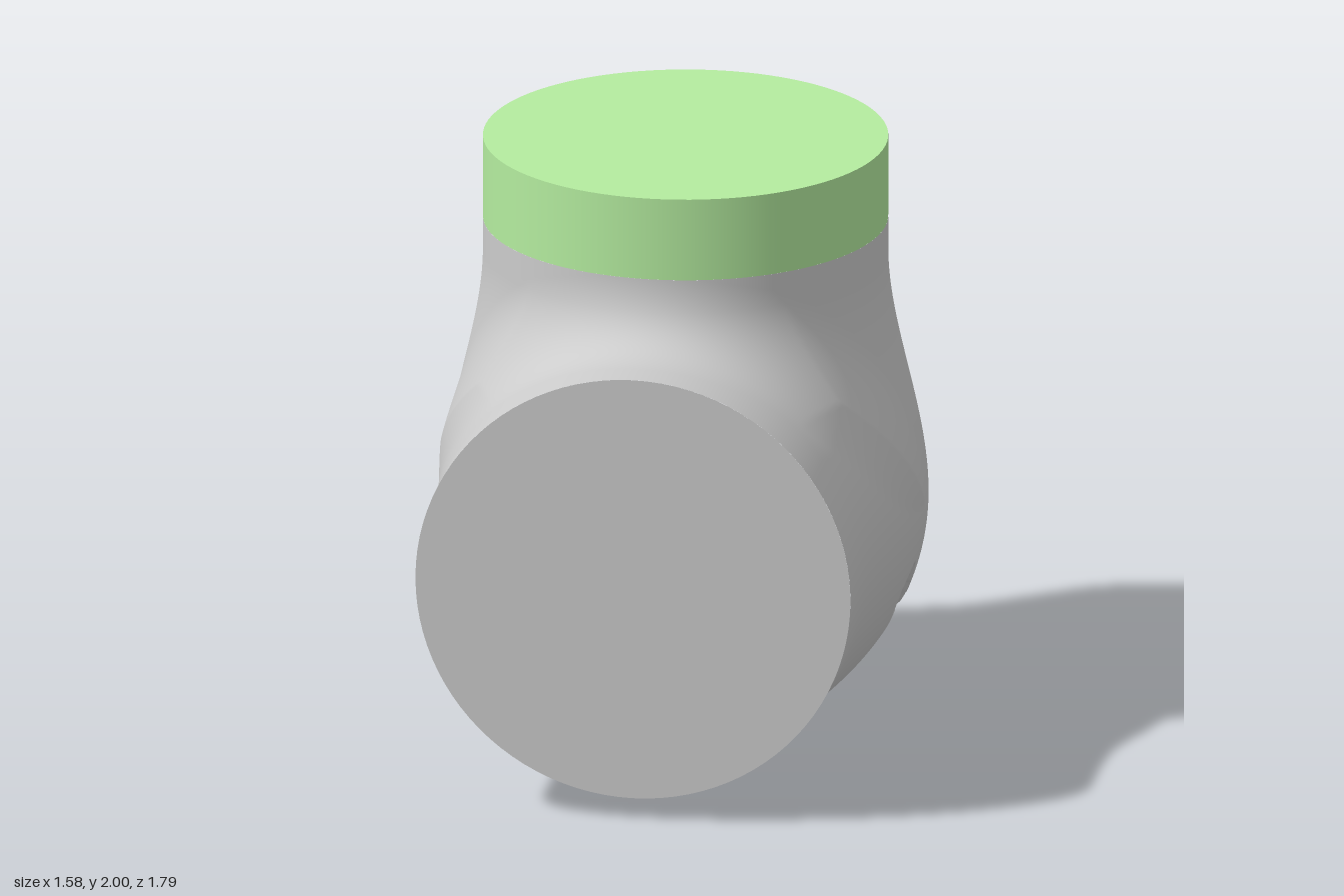
import * as THREE from 'three';

const CY = 0.785, CZ = -0.11, R = 0.785;       // centre and radius of the ball
const NECK_R = 0.655, PIPE_R = 0.713;          // end radii of the two branches
const NECK_END = 0.94, PIPE_END = 1.005;       // end distances from the centre
const SLOPE = 1.1;                             // mitre plane y = SLOPE * z
const smooth = THREE.MathUtils.smoothstep;

// Screw holes: five parallel bores around a tilted axis
const axis = new THREE.Vector3(0, -0.8, -0.6);
const side = new THREE.Vector3(0, 0.6, -0.8);
const holes = [36, 108, 180, 252, 324].map((deg) => {
  const a = THREE.MathUtils.degToRad(deg);
  return side.clone().multiplyScalar(0.705 * Math.cos(a)).setX(0.705 * Math.sin(a));
});
const HOLE_R = 0.07, HOLE_FLOOR = 0.1;

// A branch: half ball below, tapering round pipe above (h = height on its axis)
function branch(h, a, b, endRadius, reach) {
  if (h < 0) return Math.hypot(h, a, b) - R;
  return Math.hypot(a, b) - (R + (endRadius - R) * smooth(h, 0, reach));
}

// Signed field of the elbow: negative inside, with a fillet in the inner corner
function field(x, y, z) {
  const v = branch(y, x, z, NECK_R, 0.83);
  const p = branch(z, x, y, PIPE_R, 0.8);
  const k = 0.23 * THREE.MathUtils.clamp(Math.min(y, z) / 0.5, 0, 1);
  let f = Math.min(v, p);
  if (k > 0) f -= Math.max(k - Math.abs(v - p), 0) ** 2 / (4 * k);
  const along = y * axis.y + z * axis.z;
  if (along > HOLE_FLOOR) {
    for (const c of holes) {
      const d = Math.hypot(x - c.x, y - along * axis.y - c.y, z - along * axis.z - c.z);
      f = Math.max(f, Math.min(HOLE_R - d, along - HOLE_FLOOR));
    }
  }
  return f;
}

// Distance along a ray at which it leaves the body
function exit(ox, oy, oz, dx, dy, dz) {
  let lo = 0, hi = 1.4;
  for (let i = 0; i < 26; i++) {
    const m = (lo + hi) / 2;
    if (field(ox + dx * m, oy + dy * m, oz + dz * m) < 0) lo = m;
    else hi = m;
  }
  return lo;
}

// One skin of rings: neck end -> mitre ring -> pipe end
function elbowGeometry(cols = 300, rows = 90) {
  const total = rows * 2 + 1;
  const pos = new Float32Array(total * cols * 3);
  const index = [];
  const len = Math.hypot(1, SLOPE);
  const put = (row, col, x, y, z) => pos.set([x, y, z], (row * cols + col) * 3);
  for (let c = 0; c < cols; c++) {
    const phi = (c / cols) * Math.PI * 2;
    const dx = Math.sin(phi), dy = Math.cos(phi) * SLOPE / len, dz = Math.cos(phi) / len;
    const s = exit(0, 0, 0, dx, dy, dz);
    put(rows, c, dx * s, dy * s, dz * s);
    const lv = Math.hypot(dx, dz), lp = Math.hypot(dx, dy);
    for (let j = 1; j <= rows; j++) {
      const t = j / rows;
      const y = THREE.MathUtils.lerp(dy * s, NECK_END, t);
      const a = exit(0, y, 0, dx / lv, 0, dz / lv);
      put(rows - j, c, a * dx / lv, y, a * dz / lv);
      const z = THREE.MathUtils.lerp(dz * s, PIPE_END, t);
      const b = exit(0, 0, z, dx / lp, dy / lp, 0);
      put(rows + j, c, b * dx / lp, b * dy / lp, z);
    }
  }
  for (let r = 0; r < total - 1; r++) {
    for (let c = 0; c < cols; c++) {
      const n = (c + 1) % cols;
      const a = r * cols + c, b = r * cols + n, d = a + cols, e = b + cols;
      index.push(a, d, e, a, e, b);
    }
  }
  const g = new THREE.BufferGeometry();
  g.setAttribute('position', new THREE.BufferAttribute(pos, 3));
  g.setIndex(index);
  g.computeVertexNormals();
  return g;
}

export function createModel() {
  const group = new THREE.Group();
  const grey = new THREE.MeshStandardMaterial({ color: 0xcccccc });
  const green = new THREE.MeshStandardMaterial({ color: 0xb4ec9f });
  const add = (name, geometry, material, x, y, z) => {
    const mesh = new THREE.Mesh(geometry, material);
    mesh.name = name;
    mesh.position.set(x, y, z);
    group.add(mesh);
  };

  // Elbow housing with fillet and screw holes
  add('elbowHousing', elbowGeometry(), grey, 0, CY, CZ);

  // Flat closed end of the horizontal pipe
  add('pipeEnd', new THREE.CircleGeometry(PIPE_R, 96), grey, 0, CY, CZ + PIPE_END);

  // Green collar on the vertical neck
  const bottom = CY + NECK_END;
  add('collar', new THREE.CylinderGeometry(NECK_R, NECK_R, 2 - bottom, 96), green, 0, (2 + bottom) / 2, CZ);

  return group;
}
